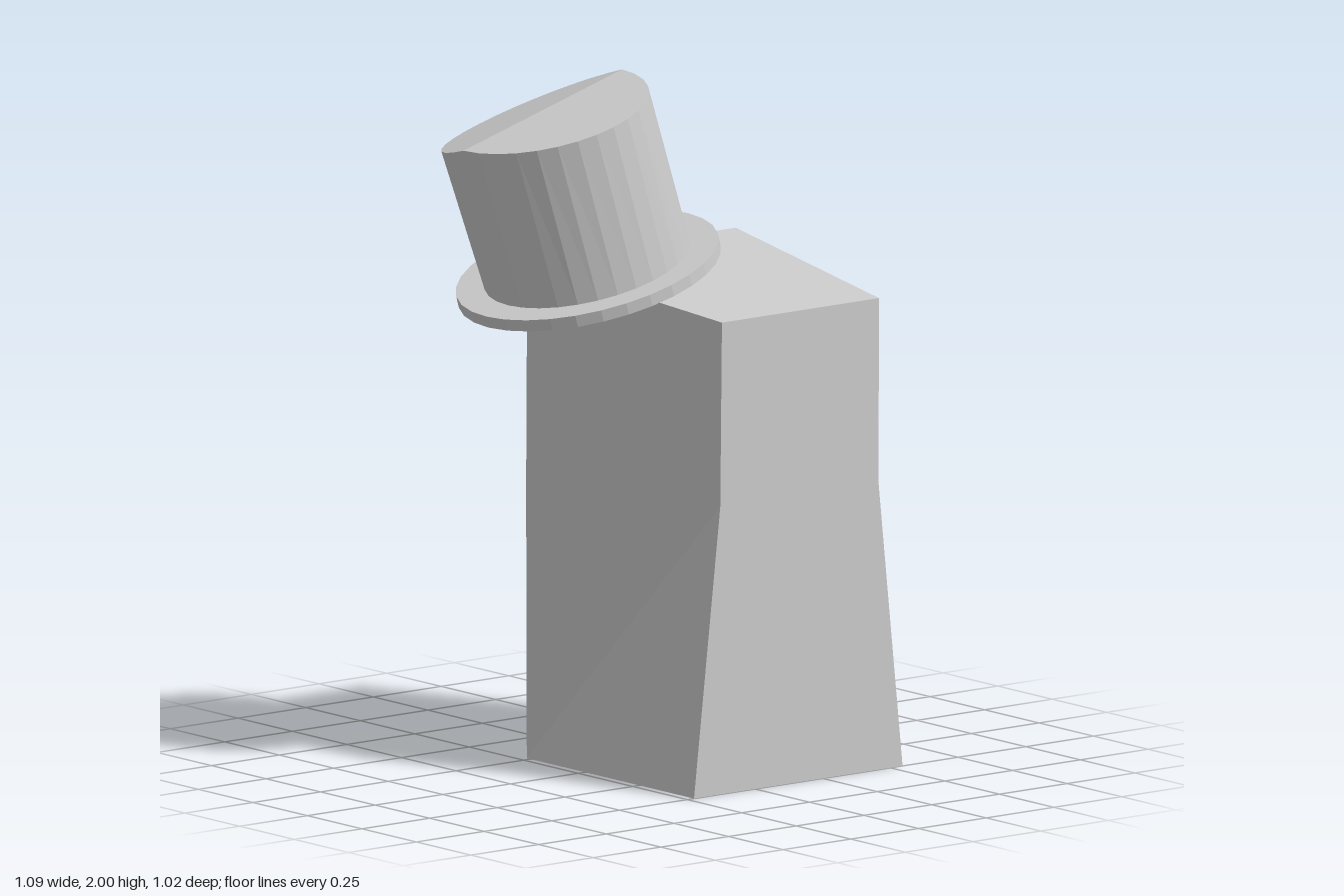
import * as THREE from 'three';

const mat = (side = THREE.FrontSide) =>
  new THREE.MeshStandardMaterial({ color: 0xcccccc, flatShading: true, side });

function add(parent, name, geometry, material) {
  const mesh = new THREE.Mesh(geometry, material);
  mesh.name = name;
  parent.add(mesh);
  return mesh;
}

// Tapered block: three four-cornered sections, back edge wide, front edge narrowing upward
function bodyGeometry() {
  const cx = 0.16, back = 0.385;
  const sections = [ // front: half width, y, z; back: y, z
    [0.385, 0, 0.5, 0, -0.267],
    [0.292, 0.845, 0.505, 0.8, -0.27],
    [0.29, 1.385, 0.51, 1.46, -0.265],
  ];
  const pos = [], index = [];
  for (const [w, fy, fz, by, bz] of sections) {
    pos.push(cx - w, fy, fz, cx + w, fy, fz, cx + back, by, bz, cx - back, by, bz);
  }
  const quad = (a, b, c, d) => index.push(a, b, c, a, c, d);
  for (let s = 0; s < 2; s++) {
    for (let i = 0; i < 4; i++) {
      const a = s * 4 + i, b = s * 4 + (i + 1) % 4;
      quad(a, b, b + 4, a + 4);
    }
  }
  quad(3, 2, 1, 0);
  quad(8, 9, 10, 11);
  const g = new THREE.BufferGeometry();
  g.setAttribute('position', new THREE.Float32BufferAttribute(pos, 3));
  g.setIndex(index);
  g.computeVertexNormals();
  return g;
}

const lathe = (points) =>
  new THREE.LatheGeometry(points.map(([r, y]) => new THREE.Vector2(r, y)), 32);

// Hollow crown whose top is stretched in depth and droops toward the back
function crownGeometry() {
  const g = lathe([[0.303, 0], [0.304, 0.482], [0, 0.482]]);
  const p = g.attributes.position;
  for (let i = 0; i < p.count; i++) {
    if (p.getY(i) < 0.4) continue;
    const z = p.getZ(i) * 1.07;
    p.setY(i, p.getY(i) - 0.3 * Math.max(0, -z));
    p.setZ(i, z - 0.04);
  }
  g.computeVertexNormals();
  return g;
}

export function createModel() {
  const model = new THREE.Group();
  model.name = 'blockWithTopHat';

  add(model, 'body', bodyGeometry(), mat());

  // Faceted eyes on the back face
  for (const side of [-1, 1]) {
    const eye = add(model, side > 0 ? 'leftEye' : 'rightEye',
      new THREE.IcosahedronGeometry(0.094, 1), mat());
    eye.position.set(0.16 + side * 0.198, 1.213, -0.266);
  }

  // Tilted hat, open underneath
  const hat = new THREE.Group();
  hat.name = 'hat';
  hat.position.set(-0.117, 1.455, -0.125);
  hat.rotation.z = 0.276;
  add(hat, 'hatCrown', crownGeometry(), mat(THREE.DoubleSide));
  add(hat, 'hatBrim',
    lathe([[0.303, -0.035], [0.387, -0.035], [0.387, 0], [0.303, 0], [0.303, -0.035]]),
    mat(THREE.DoubleSide));
  model.add(hat);

  return model;
}
